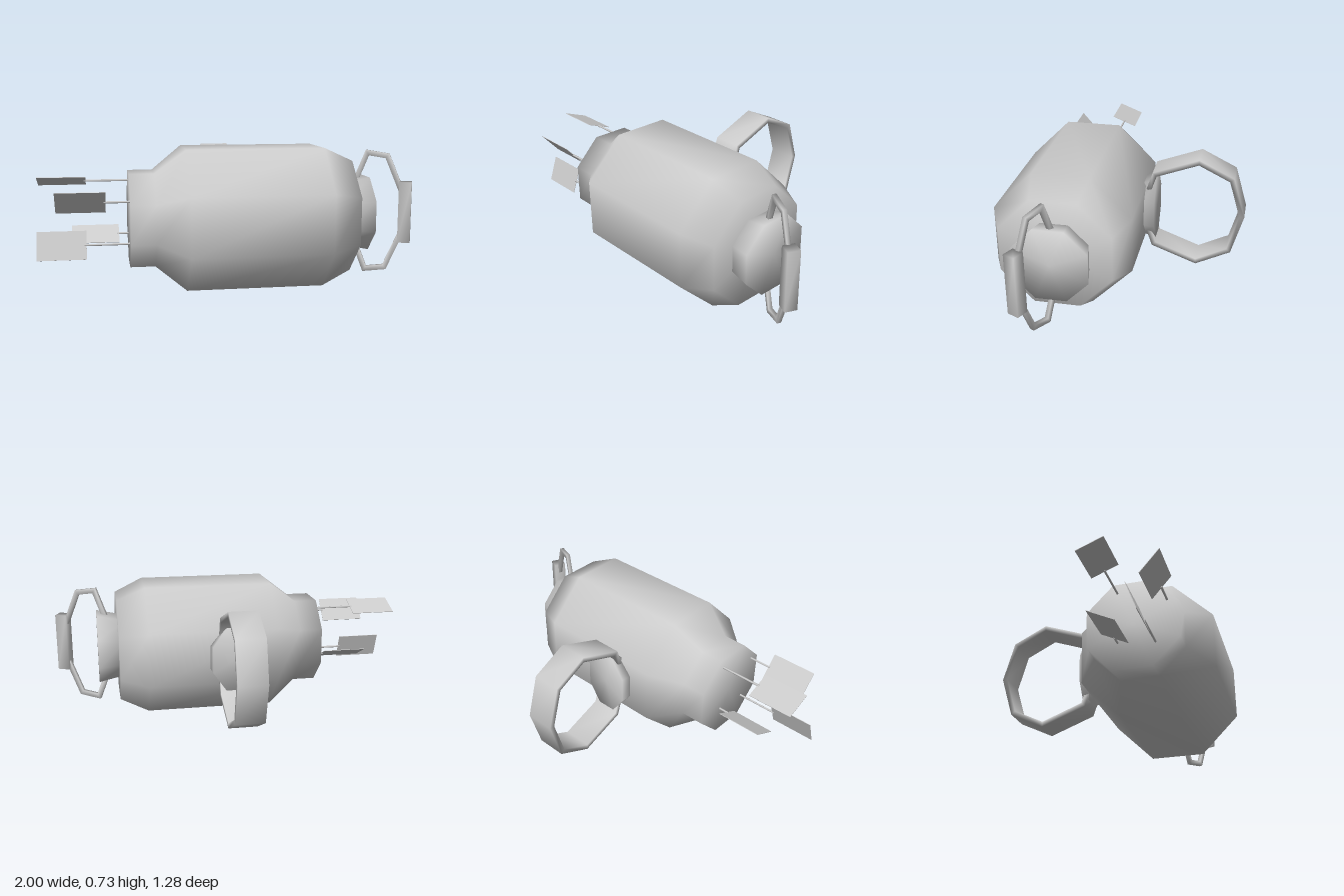
import * as THREE from 'three';
import { mergeVertices } from 'three/addons/utils/BufferGeometryUtils.js';

const material = new THREE.MeshStandardMaterial({ color: 0xcccccc, side: THREE.DoubleSide });

// Weld shared corners so the low-poly forms shade softly.
function soften(geometry) {
  geometry.deleteAttribute('normal');
  geometry.deleteAttribute('uv');
  const welded = mergeVertices(geometry, 1e-4);
  welded.computeVertexNormals();
  return welded;
}

// Octagonal solid around y, from [half height across flats, position] pairs.
function octagon(profile) {
  const points = profile.map(([r, y]) => new THREE.Vector2(r / Math.cos(Math.PI / 8), y));
  return new THREE.LatheGeometry(points, 8, Math.PI / 8);
}

// Flat band following a bent outer line, with mitred corners.
function band(outer, thickness, depth) {
  const pts = outer.map(([x, y]) => new THREE.Vector2(x, y));
  const inner = pts.map((p, i) => {
    const a = p.clone().sub(pts[Math.max(i - 1, 0)]).normalize();
    const b = pts[Math.min(i + 1, pts.length - 1)].clone().sub(p).normalize();
    const n = new THREE.Vector2(a.y + b.y, -a.x - b.x).normalize();
    const side = i === 0 ? b : a;
    const cos = n.x * side.y - n.y * side.x;
    return p.clone().addScaledVector(n, thickness / cos);
  });
  const shape = new THREE.Shape([...pts, ...inner.reverse()]);
  const geometry = new THREE.ExtrudeGeometry(shape, { depth, bevelEnabled: false });
  return geometry.translate(0, 0, -depth / 2);
}

// Complete an upper half line with its reflection below y = mid.
function mirrorDown(points, mid) {
  const lower = points.filter(([, y]) => y > mid + 1e-6).map(([x, y]) => [x, 2 * mid - y]);
  return [...points, ...lower.reverse()];
}

export function createModel() {
  const model = new THREE.Group();
  const add = (name, geometry, parent = model) => {
    const mesh = new THREE.Mesh(geometry, material);
    mesh.name = name;
    parent.add(mesh);
    return mesh;
  };

  // Main tank, lying along x
  const body = octagon([
    [0, -0.53], [0.243, -0.53], [0.243, -0.4], [0.367, -0.24],
    [0.367, 0.485], [0.295, 0.645], [0, 0.645],
  ]).rotateZ(-Math.PI / 2);
  add('body', soften(body)).position.set(0, 0.37, 0.273);

  // Flared boss on the end
  const endBoss = octagon([[0, 0.6], [0.165, 0.6], [0.197, 0.76], [0, 0.76]]).rotateZ(-Math.PI / 2);
  add('endBoss', soften(endBoss)).position.set(0, 0.372, 0.27);

  // Boss on the rear wall, narrower across than it is tall
  const rearBoss = octagon([[0, 0.08], [0.158, 0.08], [0.18, 0.15], [0, 0.15]]).rotateX(-Math.PI / 2);
  const pos = rearBoss.attributes.position;
  for (let i = 0; i < pos.count; i++) {
    pos.setX(i, pos.getX(i) * (pos.getZ(i) > -0.1 ? 0.85 : 0.7));
  }
  add('rearBoss', soften(rearBoss)).position.set(0.015, 0.375, 0);

  // Broad loop handle at the rear
  const loop = mirrorDown([[0.1, 0.51], [0.133, 0.61], [0.385, 0.705], [0.577, 0.61], [0.642, 0.385]], 0.385);
  const rearHandle = band(loop, 0.027, 0.16).rotateY(Math.PI / 2);
  add('rearHandle', soften(rearHandle)).position.x = 0.02;

  // Slanted end handle with a square grip
  const endHandle = new THREE.Group();
  endHandle.name = 'endHandle';
  endHandle.position.set(0.7, 0, 0.262);
  endHandle.rotation.y = -0.43;
  model.add(endHandle);
  const bow = mirrorDown([[-0.01, 0.53], [0.062, 0.714], [0.188, 0.695], [0.27, 0.5]], 0.377);
  // The bow is left open at the grip: build the upper half and its reflection
  const upper = bow.slice(0, 4);
  const lower = bow.slice(4);
  add('upperBow', soften(band(upper, 0.027, 0.022)), endHandle);
  add('lowerBow', soften(band(lower, 0.027, 0.022)), endHandle);
  const grip = new THREE.BoxGeometry(0.066, 0.33, 0.066);
  add('grip', soften(grip), endHandle).position.set(0.278, 0.381, 0);

  // Thin paddles on rods: outer x, y, z, then rise and run across the blade
  const paddles = [
    [-1.0, 0.562, 0.195, 0.055, 0.14],
    [-0.9, 0.483, 0.455, 0.115, 0.1],
    [-1.0, 0.255, 0.39, 0.14, -0.05],
    [-0.83, 0.275, 0.195, 0.07, -0.14],
  ];
  for (const [x, y, z, rise, run] of paddles) {
    const paddle = new THREE.Group();
    paddle.name = 'paddle';
    paddle.position.set(x, y, z);
    paddle.rotation.x = Math.atan2(run, rise);
    model.add(paddle);
    const blade = new THREE.BoxGeometry(0.25, Math.hypot(rise, run), 0.003);
    add('blade', blade, paddle).position.x = 0.125;
    const length = -0.5 - x - 0.24;
    const rod = new THREE.CylinderGeometry(0.006, 0.006, length, 6).rotateZ(Math.PI / 2);
    add('rod', rod, paddle).position.x = 0.24 + length / 2;
  }
  return model;
}
